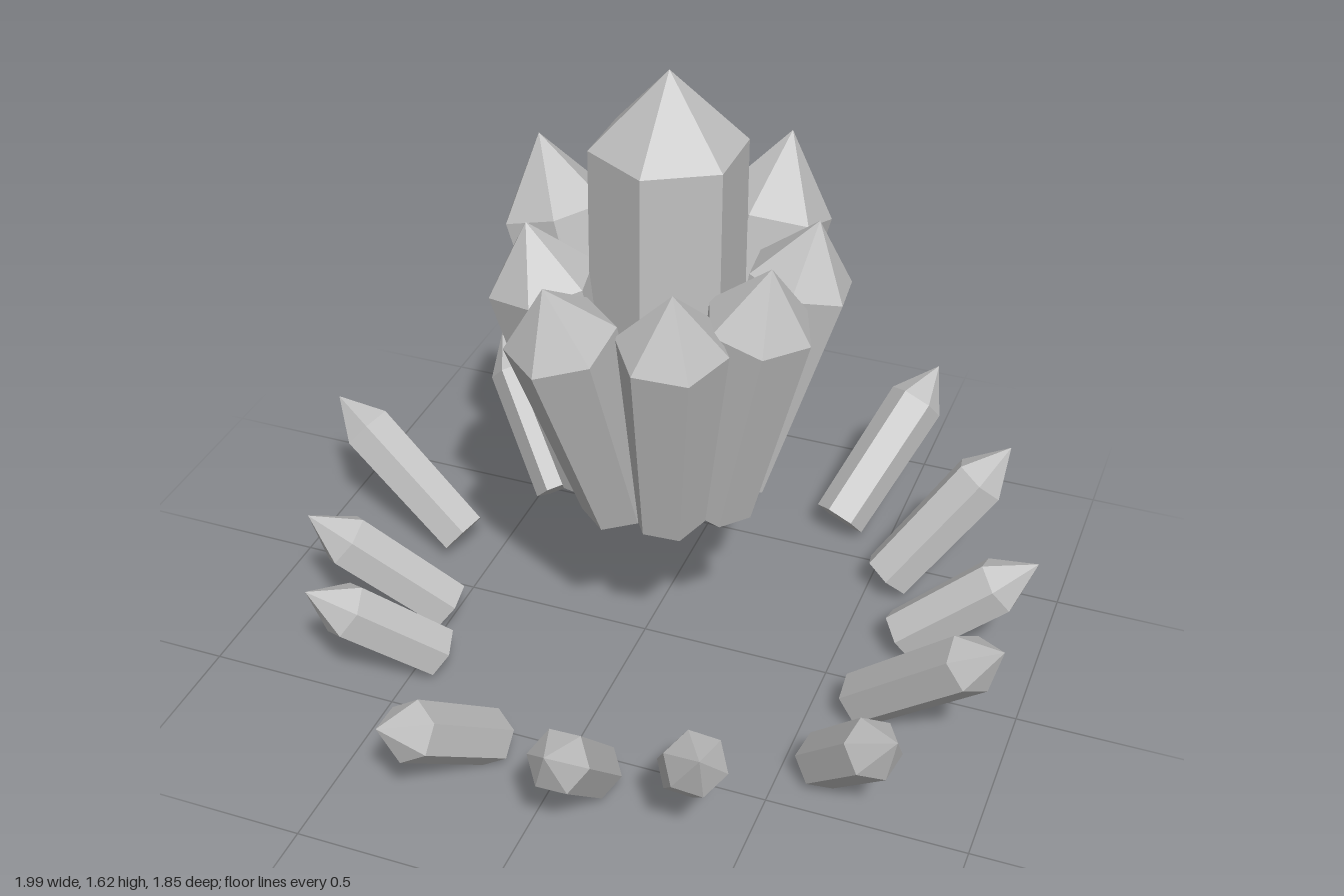
import * as THREE from 'three';

const stone = new THREE.MeshStandardMaterial({ color: 0xc0c0c0, flatShading: true });
stone.name = 'grey crystal';

// Six-sided pointed crystal running from base to tip; spin turns it about its own axis
function crystal(name, base, tip, r0, r1, point, spin) {
  const d = tip.clone().sub(base);
  const len = d.length();
  const profile = [[0, 0], [r0, 0], [r1, len - point], [0, len]].map(p => new THREE.Vector2(p[0], p[1]));
  const geo = new THREE.LatheGeometry(profile, 6);
  geo.rotateY(THREE.MathUtils.degToRad(spin));
  const mesh = new THREE.Mesh(geo, stone);
  mesh.name = name;
  mesh.position.copy(base);
  mesh.rotation.order = 'YXZ';
  mesh.rotation.y = Math.atan2(d.x, d.z);
  mesh.rotation.x = Math.atan2(Math.hypot(d.x, d.z), d.y);
  return mesh;
}

export function createModel() {
  const model = new THREE.Group();
  model.name = 'crystalCluster';
  const V = (x, y, z) => new THREE.Vector3(x, y, z);
  const cx = 0.052, cz = -0.018;

  // Tall central crystal
  model.add(crystal('centralCrystal', V(cx, 0.5, cz), V(cx, 1.63, cz), 0.19, 0.19, 0.19, 0));

  // Flared ring around the centre: tip x, y, z, shoulder radius, point length
  const inner = new THREE.Group();
  inner.name = 'innerCrystals';
  [
    [-0.11, 1.23, 0.36, 0.135, 0.16],
    [0.174, 1.23, 0.286, 0.135, 0.16],
    [0.35, 1.24, 0.11, 0.135, 0.16],
    [0.385, 1.24, -0.147, 0.135, 0.16],
    [0.227, 1.32, -0.425, 0.15, 0.2],
    [-0.085, 1.3, -0.366, 0.14, 0.19],
    [-0.355, 1.315, -0.2, 0.145, 0.19],
    [-0.254, 1.25, 0.12, 0.135, 0.16],
  ].forEach(([x, y, z, r, point]) => {
    const out = V(x - cx, 0, z - cz).normalize();
    const base = V(cx, 0.515, cz).addScaledVector(out, 0.175);
    inner.add(crystal('innerCrystal', base, V(x, y, z), 0.092, r, point, 15));
  });
  model.add(inner);

  // Leaning outer ring: inner rim x, z, then tip x, y, z, spin
  const outer = new THREE.Group();
  outer.name = 'outerCrystals';
  [
    [-0.208, -0.545, -0.374, 0.43, -0.908, 5],
    [0.032, -0.56, 0.027, 0.35, -0.913, 30],
    [0.342, -0.54, 0.534, 0.4, -0.929, 0],
    [-0.39, -0.411, -0.689, 0.41, -0.657, 5],
    [-0.55, -0.136, -0.995, 0.375, -0.224, 20],
    [-0.459, 0.139, -0.833, 0.345, 0.267, 5],
    [-0.411, 0.31, -0.71, 0.315, 0.518, 0],
    [-0.166, 0.545, -0.315, 0.32, 0.913, 10],
    [0.096, 0.56, 0.107, 0.374, 0.918, 30],
    [0.283, 0.48, 0.448, 0.41, 0.844, 10],
    [0.566, 0.352, 0.822, 0.335, 0.55, 0],
    [0.587, 0.112, 0.995, 0.43, 0.267, 0],
    [0.614, -0.139, 0.977, 0.32, -0.235, 5],
    [0.518, -0.358, 0.822, 0.43, -0.56, 0],
  ].forEach(([bx, bz, x, y, z, spin]) => {
    const out = V(x - bx, 0, z - bz).normalize();
    const base = V(bx, 0.063, bz).addScaledVector(out, 0.045);
    outer.add(crystal('outerCrystal', base, V(x, y, z), 0.072, 0.077, 0.12, spin));
  });
  model.add(outer);
  return model;
}
